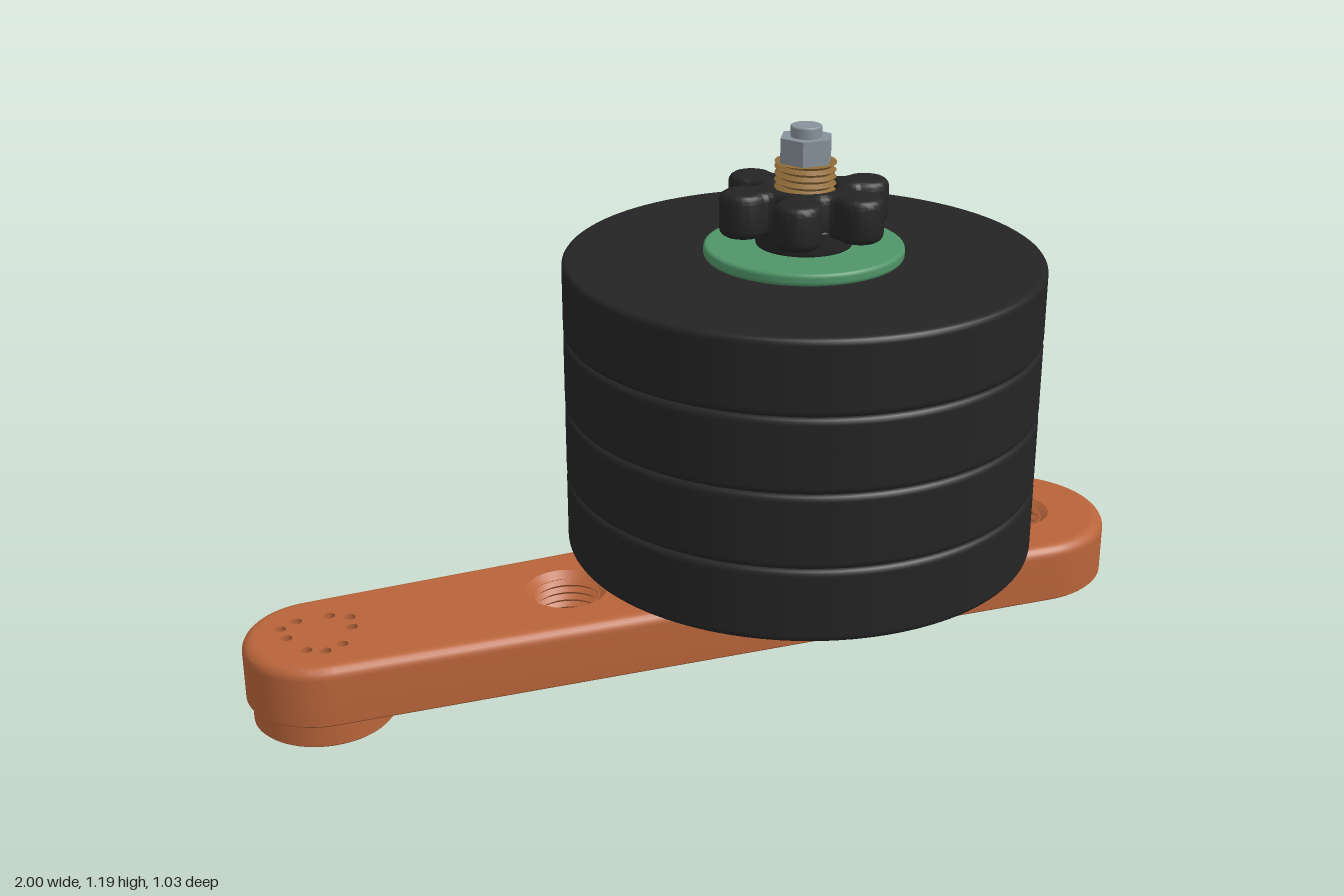
import * as THREE from 'three';
import { toCreasedNormals } from 'three/addons/utils/BufferGeometryUtils.js';

const AXIS = 0.24;                       // x of the clamping rod
const FOOT = -0.84;                      // x of the foot and narrow arm end
const ARM_LOW = 0.08, ARM_TOP = 0.213;
const ROD_HOLES = [-0.305, -0.03, 0.24, 0.513, 0.785];
const PIN_HOLES = [[-0.914, -0.043], [-0.877, -0.064], [-0.807, -0.064], [-0.768, -0.043], [-0.909, 0],
  [-0.773, 0], [-0.88, 0.064], [-0.844, 0.08], [-0.806, 0.064]];
const PIN_R = 0.012;

const material = (name, color, side = THREE.FrontSide) => {
  const m = new THREE.MeshStandardMaterial({ color, side });
  m.name = name;
  return m;
};

const hole = (x, y, r) => new THREE.Path().absarc(x, y, r, 0, Math.PI * 2, true);

// Turned disc with rounded rims
function roundedDisc(r, y0, y1, b, segments = 96) {
  const pts = [[0, y0], [r - b * 1.4, y0]];
  for (let i = 0; i <= 4; i++) {
    const a = (i / 4) * Math.PI / 2;
    pts.push([r - b + b * Math.sin(a), y0 + b - b * Math.cos(a)]);
  }
  pts.push([r, y0 + b * 1.3], [r, y1 - b * 1.3]);
  for (let i = 0; i <= 4; i++) {
    const a = (i / 4) * Math.PI / 2;
    pts.push([r - b + b * Math.cos(a), y1 - b + b * Math.sin(a)]);
  }
  pts.push([r - b * 1.4, y1], [0, y1]);
  return new THREE.LatheGeometry(pts.map(p => new THREE.Vector2(...p)), segments);
}

// Helical thread: a zigzag lathe sheared along the turn and trimmed at both ends
function thread(rIn, rOut, y0, y1, pitch) {
  const pts = [];
  for (let i = 0; y0 + i * pitch / 2 <= y1 + pitch * 1.5; i++) {
    pts.push(new THREE.Vector2(i % 2 ? rIn : rOut, y0 + i * pitch / 2));
  }
  const g = new THREE.LatheGeometry(pts, 40);
  const pos = g.attributes.position, uv = g.attributes.uv;
  for (let i = 0; i < pos.count; i++) {
    pos.setY(i, THREE.MathUtils.clamp(pos.getY(i) - pitch * uv.getX(i), y0, y1));
  }
  return toCreasedNormals(g, 0.5);
}

// Tapered arm outline: two end arcs joined by their tangents
function armOutline(inset) {
  const x0 = FOOT, r0 = 0.16, x1 = 0.787, r1 = 0.213;
  const t = Math.PI / 2 + Math.asin((r1 - r0) / (x1 - x0));
  const pts = [], n = 32;
  const arc = (x, r, a, b) => {
    for (let i = 0; i <= n; i++) {
      const k = a + (b - a) * i / n;
      pts.push(new THREE.Vector2(x + (r - inset) * Math.cos(k), (r - inset) * Math.sin(k)));
    }
  };
  arc(x1, r1, -t, t);
  arc(x0, r0, t, Math.PI * 2 - t);
  return pts;
}

// Arm wall: outlines stacked by height and inset
function armWall(rows) {
  const pos = [], idx = [];
  let n = 0;
  rows.forEach(([y, inset]) => {
    const o = armOutline(inset);
    n = o.length;
    o.forEach(p => pos.push(p.x, y, -p.y));
  });
  for (let i = 0; i < rows.length - 1; i++) {
    for (let j = 0; j < n; j++) {
      const a = i * n + j, b = i * n + (j + 1) % n;
      idx.push(a, b, b + n, a, b + n, a + n);
    }
  }
  const g = new THREE.BufferGeometry();
  g.setAttribute('position', new THREE.Float32BufferAttribute(pos, 3));
  g.setIndex(idx);
  return toCreasedNormals(g, 0.6);
}

// Arm top or bottom face with all its holes
function armFace(y, inset, up) {
  const s = new THREE.Shape(armOutline(inset));
  ROD_HOLES.forEach(x => s.holes.push(hole(x, 0, 0.088)));
  PIN_HOLES.forEach(([x, z]) => s.holes.push(hole(x, up ? -z : z, PIN_R)));
  return new THREE.ShapeGeometry(s, 20).rotateX(up ? -Math.PI / 2 : Math.PI / 2).translate(0, y, 0);
}

// Six-lobed knob: convex lobes joined by concave valleys
function knobLobes(y0, y1) {
  const s = new THREE.Shape(), b = 0.018, d = 0.14;
  for (let i = 0; i < 6; i++) {
    const t = i * Math.PI / 3, m = t + Math.PI / 6, e = d * Math.cos(Math.PI / 6);
    s.absarc(d * Math.cos(t), d * Math.sin(t), 0.05, t - Math.PI * 2 / 3, t + Math.PI * 2 / 3, false);
    s.absarc(e * Math.cos(m), e * Math.sin(m), 0.02, t - Math.PI / 3, t - Math.PI * 4 / 3, true);
  }
  s.holes.push(hole(0, 0, 0.062));
  const g = new THREE.ExtrudeGeometry(s, {
    depth: y1 - y0 - 2 * b, bevelThickness: b, bevelSize: b, bevelOffset: -b, bevelSegments: 4, curveSegments: 14,
  });
  return toCreasedNormals(g.rotateX(-Math.PI / 2).translate(0, y0 + b, 0), 0.5);
}

export function createModel() {
  const orange = material('orange', 0xb8643a, THREE.DoubleSide);
  const black = material('black', 0x242424);
  const green = material('green', 0x4f9468);
  const tan = material('tan', 0xab8a56);
  const brass = material('brass', 0x8f6b38, THREE.DoubleSide);
  const steel = material('steel', 0x87919a);

  const model = new THREE.Group();
  const add = (parent, name, geometry, mat) => {
    const mesh = new THREE.Mesh(geometry, mat);
    mesh.name = name;
    parent.add(mesh);
    return mesh;
  };
  const group = (name, x) => {
    const g = new THREE.Group();
    g.name = name;
    g.position.x = x;
    model.add(g);
    return g;
  };

  // Arm with softly rounded upper rim
  const arm = group('arm', 0);
  const rows = [[ARM_LOW, 0.004], [ARM_LOW + 0.004, 0], [ARM_LOW + 0.008, 0], [ARM_TOP - 0.03, 0]];
  for (let i = 0; i <= 5; i++) {
    const a = (i / 5) * Math.PI / 2;
    rows.push([ARM_TOP - 0.025 * (1 - Math.sin(a)), 0.025 * (1 - Math.cos(a))]);
  }
  add(arm, 'armWall', armWall(rows), orange);
  add(arm, 'armTop', armFace(ARM_TOP, 0.025, true), orange);
  add(arm, 'armUnderside', armFace(ARM_LOW, 0.004, false), orange);

  // Threaded rod holes with countersunk mouths
  const c = 0.014;
  ROD_HOLES.forEach(x => {
    add(arm, 'holeThread', thread(0.07, 0.08, ARM_LOW + c, ARM_TOP - c, 0.018), orange).position.x = x;
    [[ARM_LOW + c / 2, 0.072, 0.088], [ARM_TOP - c / 2, 0.088, 0.072]].forEach(([y, top, low]) => {
      add(arm, 'holeMouth', new THREE.CylinderGeometry(top, low, c, 40, 1, true), orange).position.set(x, y, 0);
    });
  });

  // Pin hole walls
  PIN_HOLES.forEach(([x, z]) => {
    const wall = new THREE.CylinderGeometry(PIN_R, PIN_R, ARM_TOP - ARM_LOW, 20, 1, true);
    add(arm, 'pinHole', wall, orange).position.set(x, (ARM_LOW + ARM_TOP) / 2, z);
  });

  // Round foot under the narrow end, pierced by the pin holes
  const disc = new THREE.Shape().absarc(0, 0, 0.148, 0, Math.PI * 2, false);
  PIN_HOLES.forEach(([x, z]) => disc.holes.push(hole(x - FOOT, -z, PIN_R)));
  const footGeo = new THREE.ExtrudeGeometry(disc, {
    depth: ARM_LOW - 0.027 - 0.004, bevelThickness: 0.004, bevelSize: 0.004, bevelOffset: -0.004,
    bevelSegments: 1, curveSegments: 32,
  });
  footGeo.rotateX(-Math.PI / 2).translate(0, 0.031, 0);
  add(group('foot', FOOT), 'footDisc', toCreasedNormals(footGeo, 0.5), orange);

  // Stack clamped on the rod
  const stack = group('stack', AXIS);
  add(stack, 'lowerWasher', roundedDisc(0.213, ARM_TOP, 0.256, 0.012), tan);
  const h = 0.1625;
  for (let i = 0; i < 4; i++) {
    add(stack, 'weightDisc', roundedDisc(0.513, 0.255 + i * h, 0.255 + (i + 1) * h, 0.013, 128), black);
  }
  add(stack, 'upperWasher', roundedDisc(0.213, 0.905, 0.932, 0.008), green);
  add(stack, 'knobHub', roundedDisc(0.103, 0.93, 0.985, 0.006, 64), black);
  add(stack, 'knobLobes', knobLobes(0.965, 1.06), black);

  // Threaded rod with hex nuts and tips at both ends
  add(stack, 'rod', thread(0.054, 0.065, ARM_LOW, 1.11, 0.0145), brass);
  [['lowerNut', 0.027, ARM_LOW + 0.002], ['upperNut', 1.108, 1.163]].forEach(([name, y0, y1]) => {
    const nut = new THREE.CylinderGeometry(0.058, 0.058, y1 - y0, 6).rotateY(Math.PI / 2);
    add(stack, name, toCreasedNormals(nut, 0.3), steel).position.y = (y0 + y1) / 2;
  });
  add(stack, 'lowerTip', roundedDisc(0.033, 0, 0.03, 0.004, 32), steel);
  add(stack, 'upperTip', roundedDisc(0.033, 1.16, 1.187, 0.004, 32), steel);

  // Collars closing the thread ends behind the nuts
  [[ARM_LOW, Math.PI / 2], [1.11, -Math.PI / 2]].forEach(([y, turn]) => {
    add(stack, 'rodEnd', new THREE.CircleGeometry(0.063, 40).rotateX(turn), brass).position.y = y;
  });

  return model;
}
